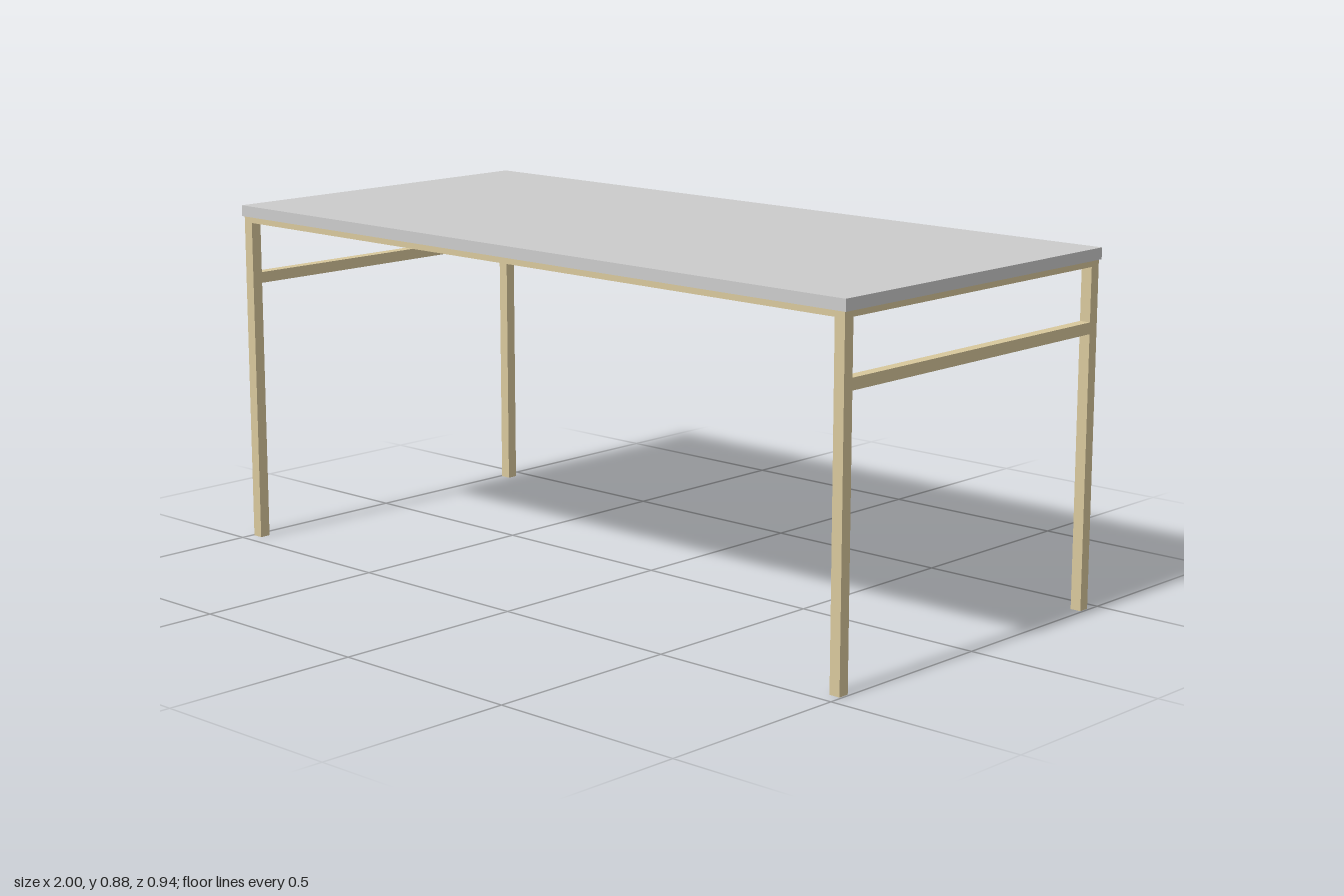
import * as THREE from 'three';

const TUBE = 0.028;           // square section of the frame
const TOP_Y = 0.847;          // underside of the tabletop
const LEG_X = 0.981, LEG_Z = 0.451;

export function createModel() {
  const table = new THREE.Group();
  table.name = 'table';
  const grey = new THREE.MeshStandardMaterial({ color: 0xcccccc });
  const frame = new THREE.MeshStandardMaterial({ color: 0xd8c89c });

  const addBox = (name, material, size, position) => {
    const mesh = new THREE.Mesh(new THREE.BoxGeometry(...size), material);
    mesh.name = name;
    mesh.position.set(...position);
    table.add(mesh);
  };

  // Flat slab top
  addBox('tabletop', grey, [2, 0.028, 0.938], [0, TOP_Y + 0.014, 0]);

  const railHeight = 0.015;
  const railY = TOP_Y - railHeight / 2;
  const spanX = 2 * LEG_X - TUBE, spanZ = 2 * LEG_Z - TUBE;

  for (const sx of [-1, 1]) {
    const side = sx > 0 ? 'left' : 'right';
    // Corner legs
    for (const sz of [-1, 1]) {
      const end = sz > 0 ? 'Front' : 'Back';
      addBox(`${side}${end}Leg`, frame, [TUBE, TOP_Y, TUBE], [sx * LEG_X, TOP_Y / 2, sz * LEG_Z]);
    }
    // Rail under the top and lower crossbar at each end
    addBox(`${side}TopRail`, frame, [TUBE, railHeight, spanZ], [sx * LEG_X, railY, 0]);
    addBox(`${side}Crossbar`, frame, [TUBE, TUBE, spanZ], [sx * LEG_X, 0.687, 0]);
  }

  // Long rails under the front and back edges
  for (const sz of [-1, 1]) {
    addBox(sz > 0 ? 'frontTopRail' : 'backTopRail', frame, [spanX, railHeight, TUBE], [0, railY, sz * LEG_Z]);
  }

  return table;
}
